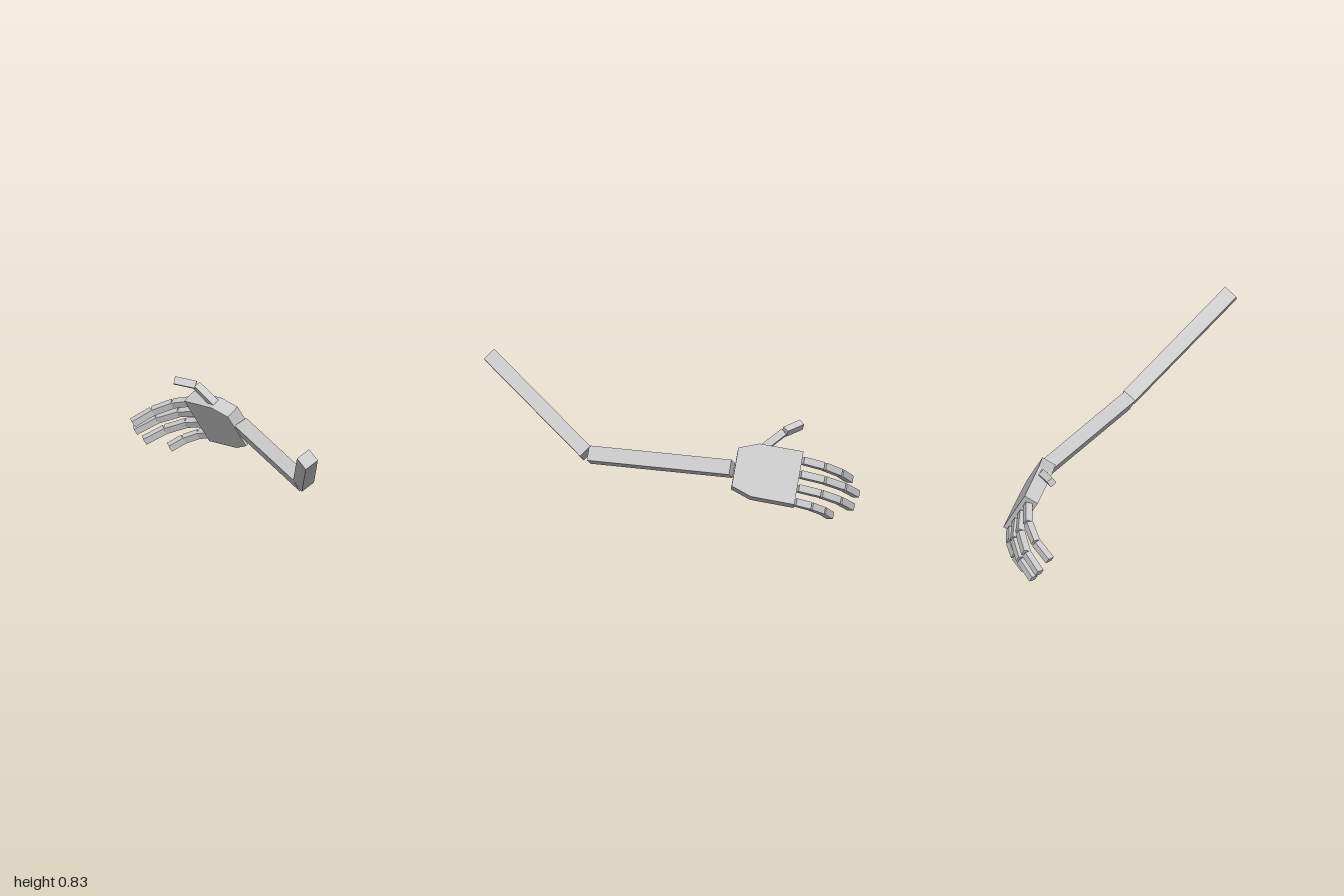
import * as THREE from 'three';

const material = new THREE.MeshStandardMaterial({ color: 0xcccccc, flatShading: true });
const vec = (p) => new THREE.Vector3(...p);

// Box running between two points; width lies along the side axis
function beam(name, from, to, width, height, side) {
  const a = vec(from), b = vec(to);
  const dir = b.clone().sub(a);
  const length = dir.length();
  dir.normalize();
  const up = dir.clone().cross(vec(side)).normalize();
  const across = up.clone().cross(dir);
  const mesh = new THREE.Mesh(new THREE.BoxGeometry(width, height, length), material);
  mesh.name = name;
  mesh.quaternion.setFromRotationMatrix(new THREE.Matrix4().makeBasis(across, up, dir));
  mesh.position.copy(a).add(b).multiplyScalar(0.5);
  return mesh;
}

// Hand in its own frame: x to the fingertips, y to the thumb side, z out of the back
function createHand() {
  const hand = new THREE.Group();
  hand.name = 'hand';

  const outline = [[-0.195, 0.102], [-0.195, -0.122], [-0.08, -0.162],
    [0.168, -0.164], [0.168, 0.146], [-0.082, 0.146]];
  const shape = new THREE.Shape(outline.map((p) => new THREE.Vector2(...p)));
  const palm = new THREE.Mesh(
    new THREE.ExtrudeGeometry(shape, { depth: 0.085, bevelEnabled: false }), material);
  palm.name = 'palm';
  palm.position.z = -0.085;
  hand.add(palm);

  // Four fingers, each of three boxes curling towards the palm
  const fingers = [
    { name: 'indexFinger', y: 0.102, length: 0.132, curl: 4 },
    { name: 'middleFinger', y: 0.022, length: 0.143, curl: -2 },
    { name: 'ringFinger', y: -0.059, length: 0.137, curl: -1.5 },
    { name: 'littleFinger', y: -0.141, length: 0.095, curl: 2 },
  ];
  for (const { name, y, length, curl } of fingers) {
    const finger = new THREE.Group();
    finger.name = name;
    let x = 0.168, z = -0.04;
    [17, 37, 57].forEach((degrees, i) => {
      const angle = THREE.MathUtils.degToRad(degrees + curl);
      const dx = Math.cos(angle) * length, dz = -Math.sin(angle) * length;
      const gap = 0.04;
      finger.add(beam(`${name}Segment${i + 1}`, [x + dx * gap, y, z + dz * gap],
        [x + dx, y, z + dz], 0.041, 0.041, [0, 1, 0]));
      x += dx;
      z += dz;
    });
    hand.add(finger);
  }

  // Place the hand at the wrist
  const x = vec([0.215, -0.174, -0.961]).normalize();
  const z = x.clone().cross(vec([-0.416, 0.874, -0.251])).normalize();
  const y = z.clone().cross(x);
  hand.quaternion.setFromRotationMatrix(new THREE.Matrix4().makeBasis(x, y, z));
  hand.position.set(0.463, 0.307, -0.448);
  return hand;
}

export function createModel() {
  const model = new THREE.Group();
  model.name = 'arm';

  model.add(
    beam('upperArm', [-0.544, 0.787, 0.946], [-0.017, 0.336, 0.5], 0.086, 0.08, [0.068, 0.042, 0.033]),
    beam('forearm', [-0.011, 0.329, 0.485], [0.386, 0.311, -0.248], 0.08, 0.086, [0.06, 0.037, 0.037]),
    createHand(),
  );

  // Thumb of two boxes
  const thumb = new THREE.Group();
  thumb.name = 'thumb';
  thumb.add(
    beam('thumbBase', [0.362, 0.4, -0.41], [0.345, 0.498, -0.553], 0.042, 0.042, [0.88, 0.45, 0.12]),
    beam('thumbTip', [0.345, 0.5, -0.557], [0.284, 0.52, -0.662], 0.043, 0.04, [0.51, 0.85, -0.14]),
  );
  model.add(thumb);
  return model;
}
